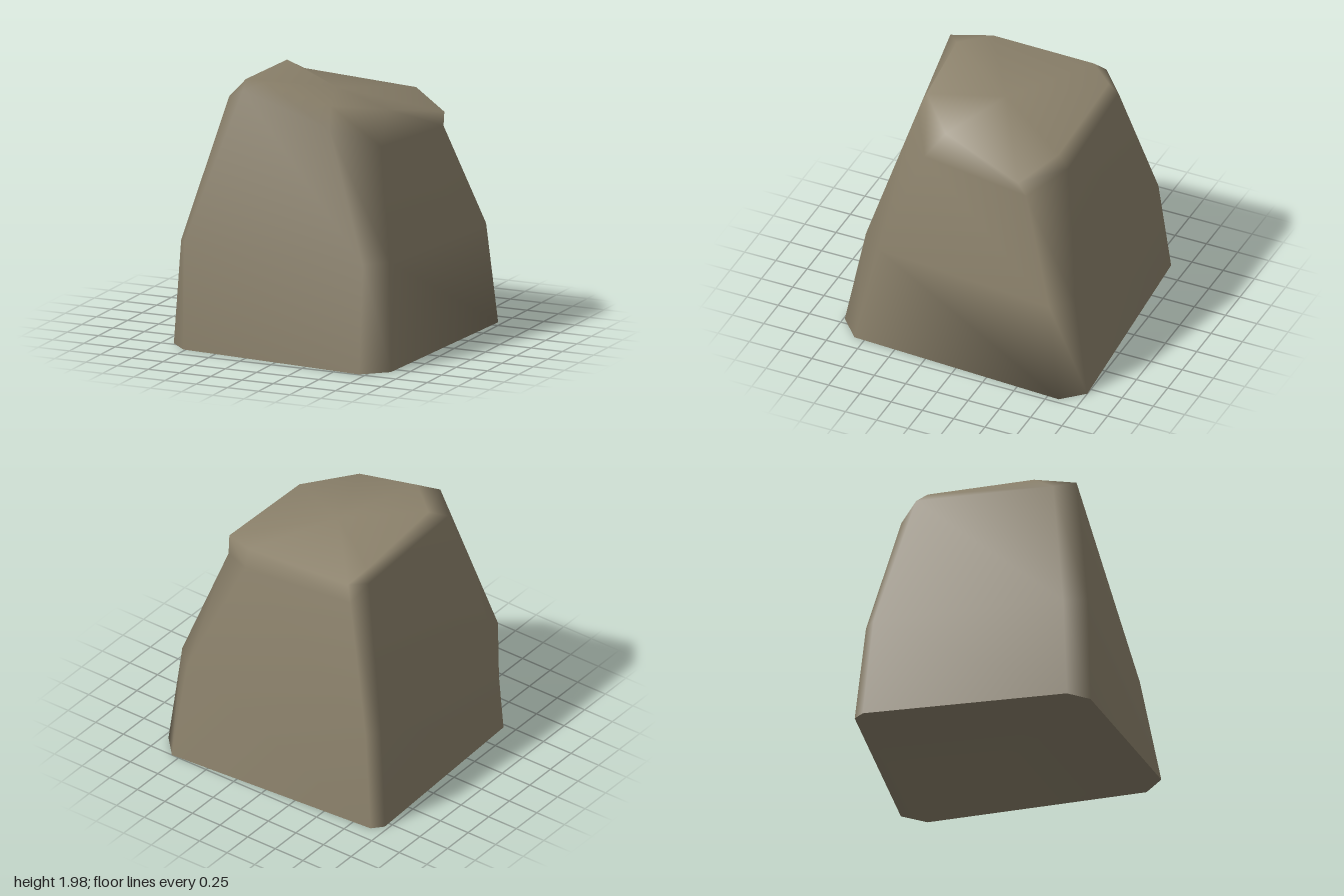
import * as THREE from 'three';

// Eight-sided cross-sections from the ground to the rim: [x, y, z] per corner,
// starting at the front left corner and running round by the front
const rings = [
  [[0.88, 0, 0.83], [0.70, 0, 0.99], [-0.77, 0, 0.86], [-0.91, 0, 0.72],
    [-0.97, 0, -0.80], [-0.90, 0, -0.88], [0.81, 0, -1.0], [0.96, 0, -0.84]],
  [[0.80, 0.78, 0.68], [0.66, 0.78, 0.84], [-0.77, 0.80, 0.84], [-0.87, 0.77, 0.68],
    [-0.89, 0.77, -0.74], [-0.81, 0.75, -0.82], [0.76, 0.75, -0.88], [0.91, 0.76, -0.74]],
  [[0.60, 1.56, 0.40], [0.28, 1.70, 0.60], [-0.39, 1.93, 0.65], [-0.56, 1.84, 0.52],
    [-0.60, 1.83, -0.50], [-0.53, 1.70, -0.63], [0.40, 1.64, -0.66], [0.70, 1.53, -0.46]],
  [[0.58, 1.80, 0.24], [0.26, 1.86, 0.54], [-0.26, 1.98, 0.54], [-0.50, 1.94, 0.36],
    [-0.54, 1.90, -0.43], [-0.47, 1.81, -0.58], [0.42, 1.76, -0.59], [0.73, 1.65, -0.41]],
];

function rockGeometry() {
  const n = 8;
  const points = rings.flat();
  const index = [];
  // Walls
  for (let r = 0; r < rings.length - 1; r++) {
    for (let i = 0; i < n; i++) {
      const a = r * n + i, b = r * n + (i + 1) % n;
      index.push(a, a + n, b + n, a, b + n, b);
    }
  }
  // Sloping top, fanned from its middle
  const rim = (rings.length - 1) * n;
  const centre = points.length;
  points.push([0.05, 1.86, 0]);
  for (let i = 0; i < n; i++) index.push(rim + i, centre, rim + (i + 1) % n);
  // Flat base, fanned from the back left corner, which it shares with the wall
  const base = points.length;
  points.push(...rings[0]);
  for (let i = 0; i < n - 2; i++) index.push(n - 1, base + i, base + i + 1);

  const geometry = new THREE.BufferGeometry();
  geometry.setAttribute('position', new THREE.Float32BufferAttribute(points.flat(), 3));
  geometry.setIndex(index);
  geometry.computeVertexNormals();
  return geometry;
}

export function createModel() {
  const stone = new THREE.MeshStandardMaterial({ color: 0x8a806a });
  stone.name = 'stone';
  const rock = new THREE.Mesh(rockGeometry(), stone);
  rock.name = 'rock';
  const group = new THREE.Group();
  group.name = 'boulder';
  group.add(rock);
  return group;
}
